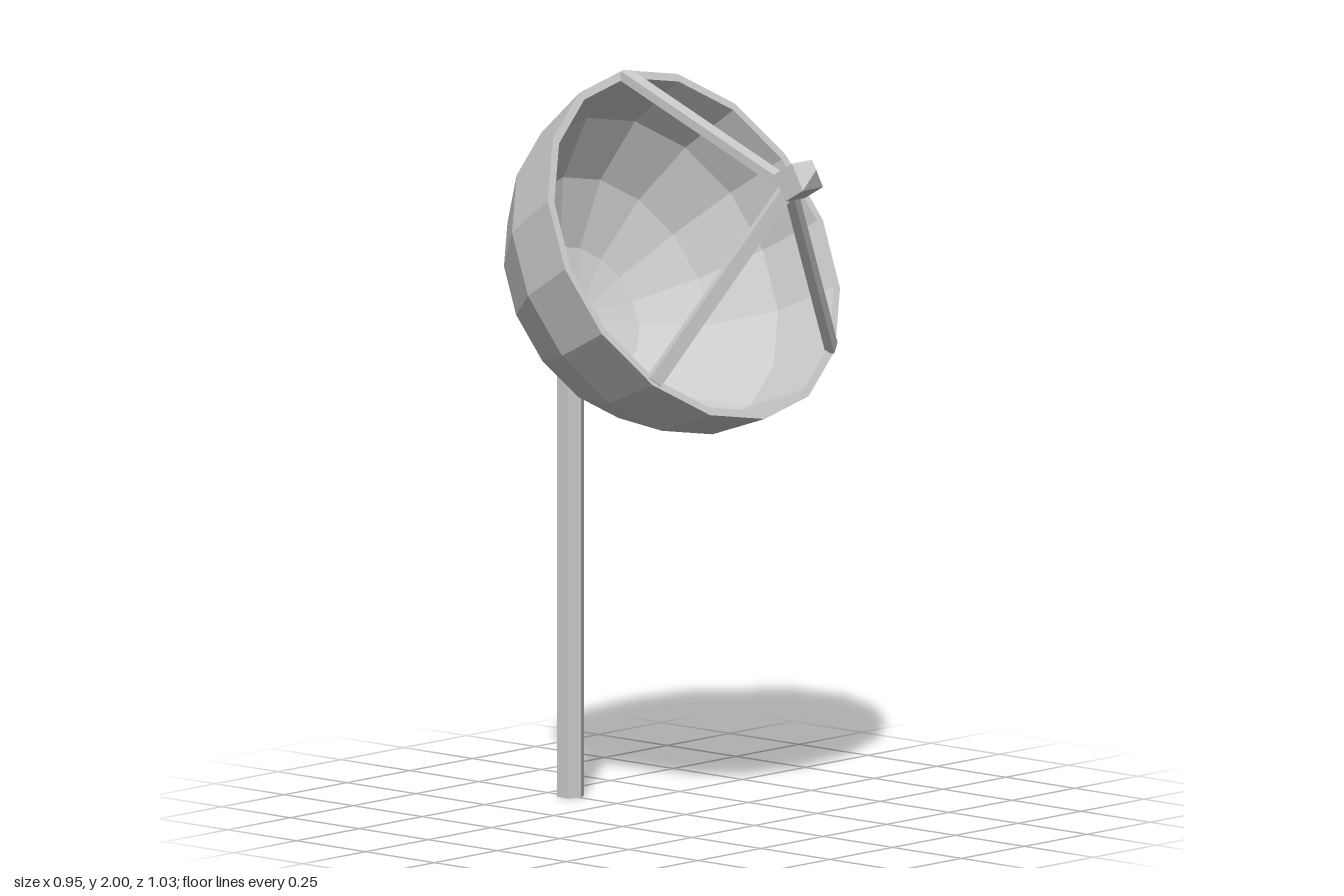
import * as THREE from 'three';

const grey = new THREE.MeshStandardMaterial({ color: 0xcccccc, flatShading: true });

function part(name, geometry, parent) {
  const mesh = new THREE.Mesh(geometry, grey);
  mesh.name = name;
  parent.add(mesh);
  return mesh;
}

export function createModel() {
  const root = new THREE.Group();
  root.name = 'dishAntenna';

  // Hexagonal mast behind the bowl, one corner pointing along x
  const mastHeight = 1.295;
  const mast = part('mast', new THREE.CylinderGeometry(0.0375, 0.0375, mastHeight, 6), root);
  mast.rotation.y = Math.PI / 2;
  mast.position.set(-0.4175, mastHeight / 2, 0);

  // Everything else shares the dish axis: local +y points out of the bowl
  const dish = new THREE.Group();
  dish.name = 'dish';
  dish.position.set(0.03, 1.555, 0);
  dish.rotation.z = -Math.PI / 3;
  root.add(dish);

  // Thick hemispherical bowl: outer shell up to the rim, then inner shell back down
  const outer = 0.513, inner = 0.49, rings = 4;
  const arcPoint = (r, i) => {
    const a = (i / rings) * Math.PI / 2;
    return new THREE.Vector2(i === 0 ? 0 : r * Math.sin(a), i === rings ? 0 : -r * Math.cos(a));
  };
  const profile = [];
  for (let i = 0; i <= rings; i++) profile.push(arcPoint(outer, i));
  for (let i = rings; i >= 0; i--) profile.push(arcPoint(inner, i));
  part('bowl', new THREE.LatheGeometry(profile, 16), dish);

  // Three flat struts from the rim to the receiver
  const footRadius = 0.5, apex = 0.4;
  const length = Math.hypot(footRadius, apex);
  for (const angle of [Math.PI, Math.PI / 4, -Math.PI / 4]) {
    const arm = new THREE.Group();
    arm.name = 'strutArm';
    arm.rotation.y = angle;
    dish.add(arm);
    const strut = part('strut', new THREE.BoxGeometry(0.025, length, 0.04), arm);
    strut.position.set(footRadius / 2, apex / 2, 0);
    strut.rotation.z = Math.atan2(footRadius, apex);
  }

  // Square receiver block with a low pyramid tip
  const half = 0.04 * Math.SQRT2;
  const receiverProfile = [[0, 0.4], [half, 0.4], [half, 0.475], [0, 0.512]]
    .map(([x, y]) => new THREE.Vector2(x, y));
  const receiver = part('receiver', new THREE.LatheGeometry(receiverProfile, 4), dish);
  receiver.rotation.y = Math.PI / 4;

  return root;
}
